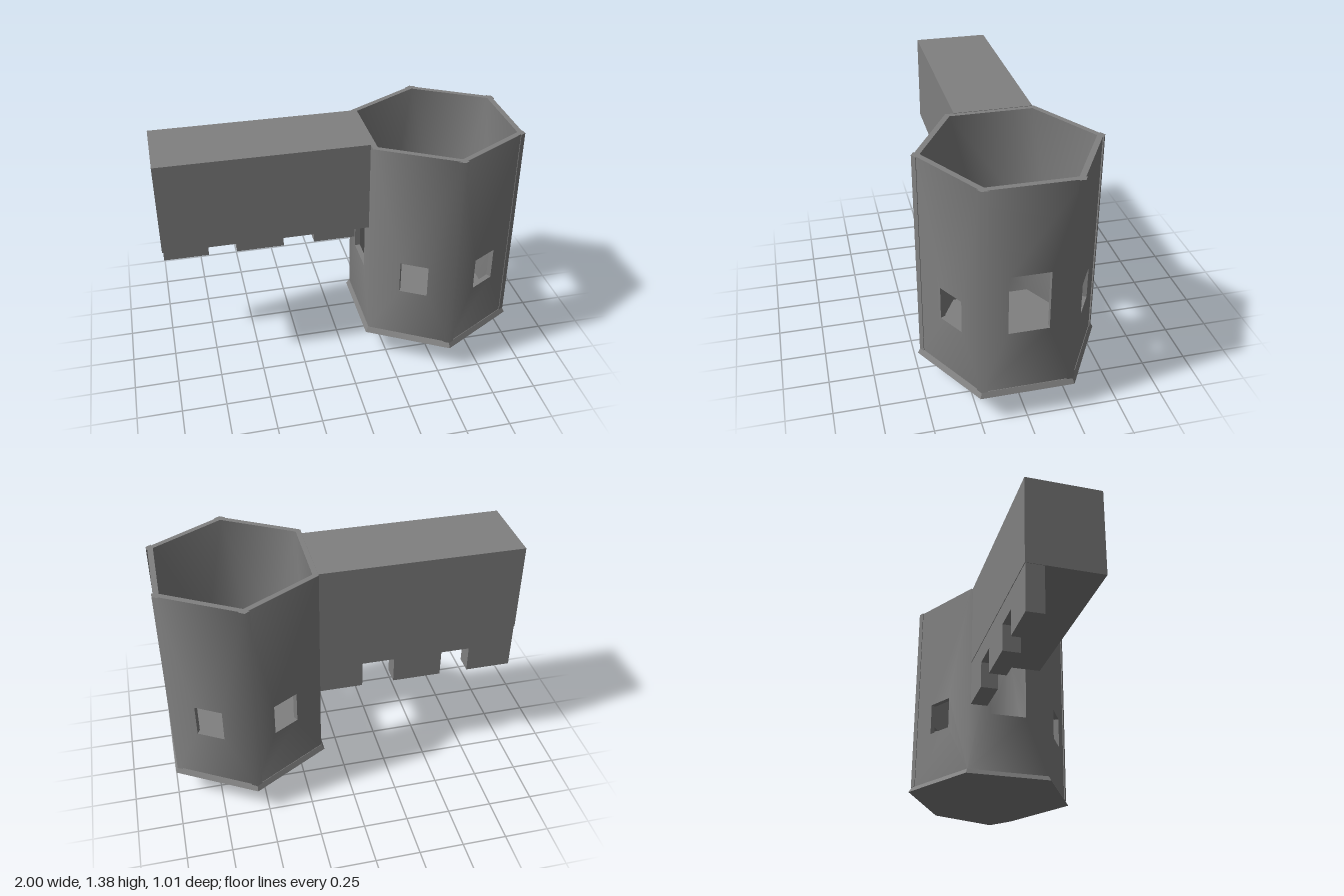
import * as THREE from 'three';

const smooth = new THREE.MeshStandardMaterial({ color: 0x808080 });
const flat = new THREE.MeshStandardMaterial({ color: 0x808080, flatShading: true });

const BASE = 0.195, TOP = 1.383;    // tower wall heights
const OUTER = 0.42, INNER = 0.39;   // wall distances from the tower axis
const POST = 0.427;                 // distance of the corner strip faces

function add(parent, name, geometry, material = flat) {
  const mesh = new THREE.Mesh(geometry, material);
  mesh.name = name;
  parent.add(mesh);
  return mesh;
}

const points = list => list.map(p => new THREE.Vector2(...p));
const extrude = (shape, depth) => new THREE.ExtrudeGeometry(shape, { depth, bevelEnabled: false });

// Shade faces that look along the tower radius as one rounded surface
function radialNormals(geo) {
  geo.computeVertexNormals();
  const { position, normal } = geo.attributes;
  const r = new THREE.Vector3(), n = new THREE.Vector3();
  for (let i = 0; i < position.count; i++) {
    r.fromBufferAttribute(position, i).setY(0).normalize();
    const d = n.fromBufferAttribute(normal, i).dot(r);
    if (Math.abs(d) > 0.8) {
      r.multiplyScalar(Math.sign(d));
      normal.setXYZ(i, r.x, r.y, r.z);
    }
  }
  return geo;
}

// One side of the hexagon with a rectangular opening, mitred at its ends
function wallPanel(center, width, y0, y1) {
  const half = OUTER * Math.tan(Math.PI / 6);
  const rect = (x0, x1, a, b) => points([[x0, a], [x1, a], [x1, b], [x0, b]]);
  const shape = new THREE.Shape(rect(-half, half, BASE, TOP));
  shape.holes.push(new THREE.Path(rect(center - width / 2, center + width / 2, y0, y1)));
  const geo = extrude(shape, OUTER - INNER).translate(0, 0, INNER);
  const pos = geo.attributes.position;
  for (let i = 0; i < pos.count; i++) {
    const x = pos.getX(i);
    if (Math.abs(x) > half - 0.01) pos.setX(i, x * pos.getZ(i) / OUTER);
  }
  return radialNormals(geo);
}

// Shallow wedge-shaped strip that covers a corner of the hexagon
function cornerStrip() {
  const tip = POST / Math.cos(Math.PI / 6), w = 0.029;
  const side = tip - w * Math.tan(Math.PI / 6);
  const shape = new THREE.Shape(points([[0, -tip], [w, -side], [0, -0.462], [-w, -side]]));
  const geo = extrude(shape, TOP - BASE).rotateX(-Math.PI / 2).translate(0, BASE, 0);
  return radialNormals(geo);
}

function box(x0, x1, y0, y1, z0, z1) {
  return new THREE.BoxGeometry(x1 - x0, y1 - y0, z1 - z0)
    .translate((x0 + x1) / 2, (y0 + y1) / 2, (z0 + z1) / 2);
}

export function createModel() {
  const model = new THREE.Group();
  model.name = 'hexagonalTowerWithWall';

  // Hexagonal tower, open at the top
  const tower = new THREE.Group();
  tower.name = 'tower';
  tower.position.x = 0.56;
  model.add(tower);

  for (let i = 0; i < 6; i++) {
    const angle = Math.PI / 6 + i * Math.PI / 3;
    const isDoor = i === 1 || i === 4;   // the sides facing +x and -x
    const geo = isDoor
      ? wallPanel(0, 0.215, 0.55, 0.89)
      : wallPanel(0.013 * Math.sign(Math.cos(angle)), 0.16, 0.5, 0.69);
    add(tower, isDoor ? 'doorWall' : 'windowWall', geo, smooth).rotation.y = angle;
  }

  // Strips on the corners away from the long wall
  for (const i of [0, 1, 2, 3]) {
    add(tower, 'cornerStrip', cornerStrip(), smooth).rotation.y = i * Math.PI / 3;
  }

  // Pointed underside, bevelled rim and flat floor
  add(tower, 'pointedBase', new THREE.LatheGeometry(points([[0, 0], [0.506, 0.165]]), 6), smooth);
  add(tower, 'rimAndFloor', new THREE.LatheGeometry(points([[0.506, 0.165], [0.488, BASE], [0, BASE]]), 6));

  // Long wall block joined to the tower
  const wall = new THREE.Group();
  wall.name = 'wall';
  model.add(wall);
  add(wall, 'wallBlock', box(-1, 0.142, 0.87, 1.385, -0.233, 0.197));

  // Thin parapet with two notches along the back of the block
  const outline = points([
    [-0.997, 0.87], [-0.997, 0.598], [-0.737, 0.598], [-0.737, 0.753], [-0.572, 0.753], [-0.572, 0.598],
    [-0.292, 0.598], [-0.292, 0.753], [-0.108, 0.753], [-0.108, 0.598], [0.142, 0.598], [0.142, 0.87],
  ]);
  add(wall, 'notchedParapet', extrude(new THREE.Shape(outline), 0.1).translate(0, 0, -0.23));

  return model;
}
